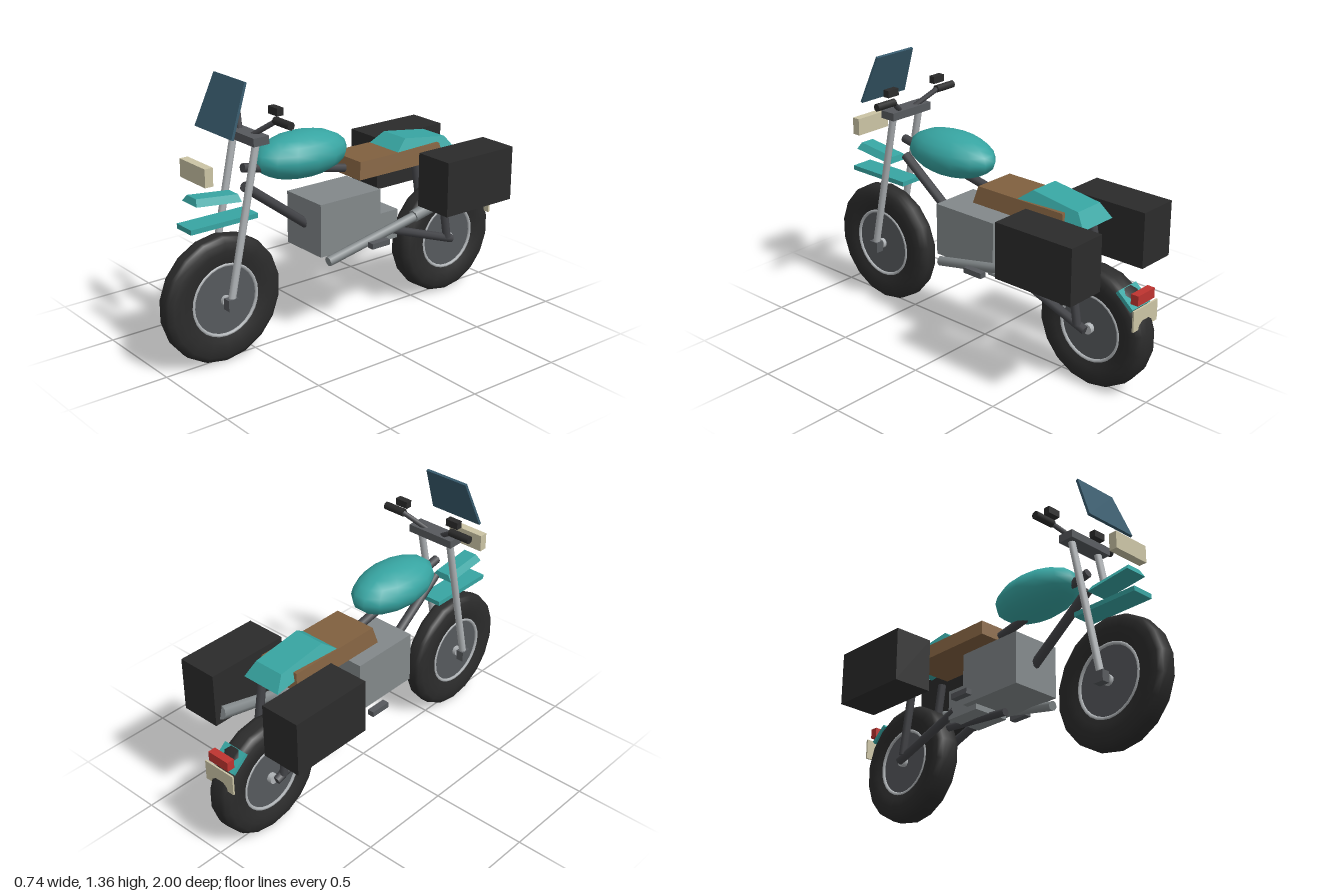
import * as THREE from 'three';

const mat = (name, color, extra = {}) => {
  const m = new THREE.MeshStandardMaterial({ color, ...extra });
  m.name = name;
  return m;
};

export function createModel() {
  const black = mat('black rubber', 0x2b2b2b);
  const frame = mat('frame steel', 0x434448);
  const metal = mat('dark metal', 0x56595d);
  const silver = mat('silver', 0xb0b4b7);
  const grey = mat('engine grey', 0x82888a);
  const teal = mat('teal paint', 0x37a5a2);
  const brown = mat('brown leather', 0x80603f);
  const cream = mat('cream', 0xcbc4a5);
  const red = mat('red lens', 0xbe3430);
  const glass = mat('tinted screen', 0x375a6c);

  const model = new THREE.Group();
  model.name = 'motorcycle';

  const add = (name, geo, material, pos = [0, 0, 0], tilt = 0, parent = model) => {
    const mesh = new THREE.Mesh(geo, material);
    mesh.name = name;
    mesh.position.set(...pos);
    mesh.rotation.x = tilt;
    parent.add(mesh);
    return mesh;
  };
  const box = (name, size, pos, material, tilt = 0) =>
    add(name, new THREE.BoxGeometry(...size), material, pos, tilt);

  // Box whose top face is scaled inwards
  const taperedBox = (name, size, sx, sz, pos, material, tilt = 0) => {
    const geo = new THREE.BoxGeometry(...size);
    const p = geo.attributes.position;
    for (let i = 0; i < p.count; i++) {
      if (p.getY(i) > 0) p.setXYZ(i, p.getX(i) * sx, p.getY(i), p.getZ(i) * sz);
    }
    geo.computeVertexNormals();
    return add(name, geo, material, pos, tilt);
  };

  // Straight tube between two points
  const rod = (name, a, b, r, material, rEnd = r, sides = 8) => {
    const from = new THREE.Vector3(...a), to = new THREE.Vector3(...b);
    const dir = to.clone().sub(from);
    const mesh = add(name, new THREE.CylinderGeometry(rEnd, r, dir.length(), sides), material);
    mesh.position.copy(from).addScaledVector(dir, 0.5);
    mesh.quaternion.setFromUnitVectors(new THREE.Vector3(0, 1, 0), dir.normalize());
    return mesh;
  };

  // Wheel: rounded tyre, disc, rim rings and hub, axle along x
  const wheel = (name, R, w, rim, z) => {
    const g = new THREE.Group();
    g.name = name;
    g.position.set(0, R, z);
    const half = [[rim - 0.01, 0.72], [rim + 0.03, 0.92], [(rim + R) / 2, 1], [R - 0.03, 0.93], [R - 0.006, 0.68], [R, 0.35]];
    const pts = [
      ...half.map(([r, y]) => new THREE.Vector2(r, -y * w)),
      ...half.reverse().map(([r, y]) => new THREE.Vector2(r, y * w)),
    ];
    const axle = (geo) => geo.rotateY(Math.PI / 2).rotateZ(Math.PI / 2);
    add('tyre', axle(new THREE.LatheGeometry(pts, 18)), black, [0, 0, 0], 0, g);
    add('wheelDisc', axle(new THREE.CylinderGeometry(rim, rim, w * 1.4, 24)), metal, [0, 0, 0], 0, g);
    for (const s of [-1, 1]) {
      const ring = new THREE.TorusGeometry(rim - 0.004, 0.009, 6, 28).rotateY(Math.PI / 2);
      add('rim', ring, silver, [s * w * 0.72, 0, 0], 0, g);
    }
    add('hub', axle(new THREE.CylinderGeometry(0.026, 0.026, w * 2.1, 10)), silver, [0, 0, 0], 0, g);
    model.add(g);
  };
  wheel('frontWheel', 0.317, 0.055, 0.18, 0.69);
  wheel('rearWheel', 0.302, 0.07, 0.17, -0.7);

  // Paired parts
  for (const s of [-1, 1]) {
    rod('forkLeg', [s * 0.09, 0.32, 0.69], [s * 0.09, 1.08, 0.53], 0.018, silver);
    box('axleClamp', [0.042, 0.055, 0.055], [s * 0.09, 0.315, 0.69], metal);
    rod('handlebar', [s * 0.05, 1.09, 0.525], [s * 0.155, 1.168, 0.465], 0.013, frame);
    rod('grip', [s * 0.147, 1.168, 0.465], [s * 0.265, 1.168, 0.465], 0.02, black);
    box('mirror', [0.07, 0.036, 0.034], [s * 0.159, 1.219, 0.472], black);
    rod('swingarm', [s * 0.085, 0.45, -0.28], [s * 0.085, 0.3, -0.7], 0.022, frame);
    rod('shock', [s * 0.095, 0.74, -0.59], [s * 0.095, 0.32, -0.66], 0.021, frame);
    box('footpeg', [0.035, 0.028, 0.11], [s * 0.197, 0.451, -0.11], metal);
    box('pannier', [0.211, 0.278, 0.437], [s * 0.265, 0.709, -0.614], black);
  }

  // Steering head, screen and lamp
  box('forkClamp', [0.262, 0.04, 0.085], [0, 1.079, 0.532], metal);
  taperedBox('windscreen', [0.298, 0.262, 0.013], 0.82, 1, [0, 1.24, 0.652], glass, -0.37);
  box('headlamp', [0.205, 0.088, 0.043], [0, 0.955, 0.798], cream);

  // Frame tubes
  rod('topTube', [0, 0.925, 0.55], [0, 0.757, -0.265], 0.022, frame);
  rod('downTube', [0, 0.835, 0.545], [0, 0.54, 0.15], 0.024, frame);
  rod('lowerTube', [0, 0.388, -0.01], [0, 0.425, -0.42], 0.02, frame);

  // Engine and exhaust
  box('engine', [0.266, 0.267, 0.37], [0, 0.567, 0.015], grey);
  box('gearbox', [0.2, 0.152, 0.2], [0, 0.481, -0.21], grey);
  rod('exhaustPipe', [0.145, 0.408, 0.165], [0.165, 0.53, -0.4], 0.025, grey);
  rod('muffler', [0.165, 0.525, -0.36], [0.165, 0.63, -0.8], 0.032, grey, 0.038);

  // Bodywork
  add('fuelTank', new THREE.SphereGeometry(1, 14, 10), teal, [0, 0.928, 0.217]).scale.set(0.148, 0.113, 0.26);
  taperedBox('seat', [0.26, 0.084, 0.55], 0.87, 0.93, [0, 0.814, -0.315], brown);
  taperedBox('tailCowl', [0.215, 0.062, 0.392], 0.75, 0.68, [0, 0.86, -0.499], teal, -0.14);
  taperedBox('frontBeak', [0.122, 0.032, 0.245], 0.62, 0.93, [0, 0.816, 0.718], teal, -0.11);
  box('frontMudguard', [0.118, 0.024, 0.366], [0, 0.7, 0.692], teal);
  box('rearMudguard', [0.135, 0.02, 0.11], [0, 0.508, -0.9], teal, -0.7);

  // Rear lamp and plate
  box('tailLamp', [0.125, 0.05, 0.04], [0, 0.531, -0.952], red);
  box('rearPlate', [0.18, 0.104, 0.009], [0, 0.438, -0.968], cream);

  return model;
}
